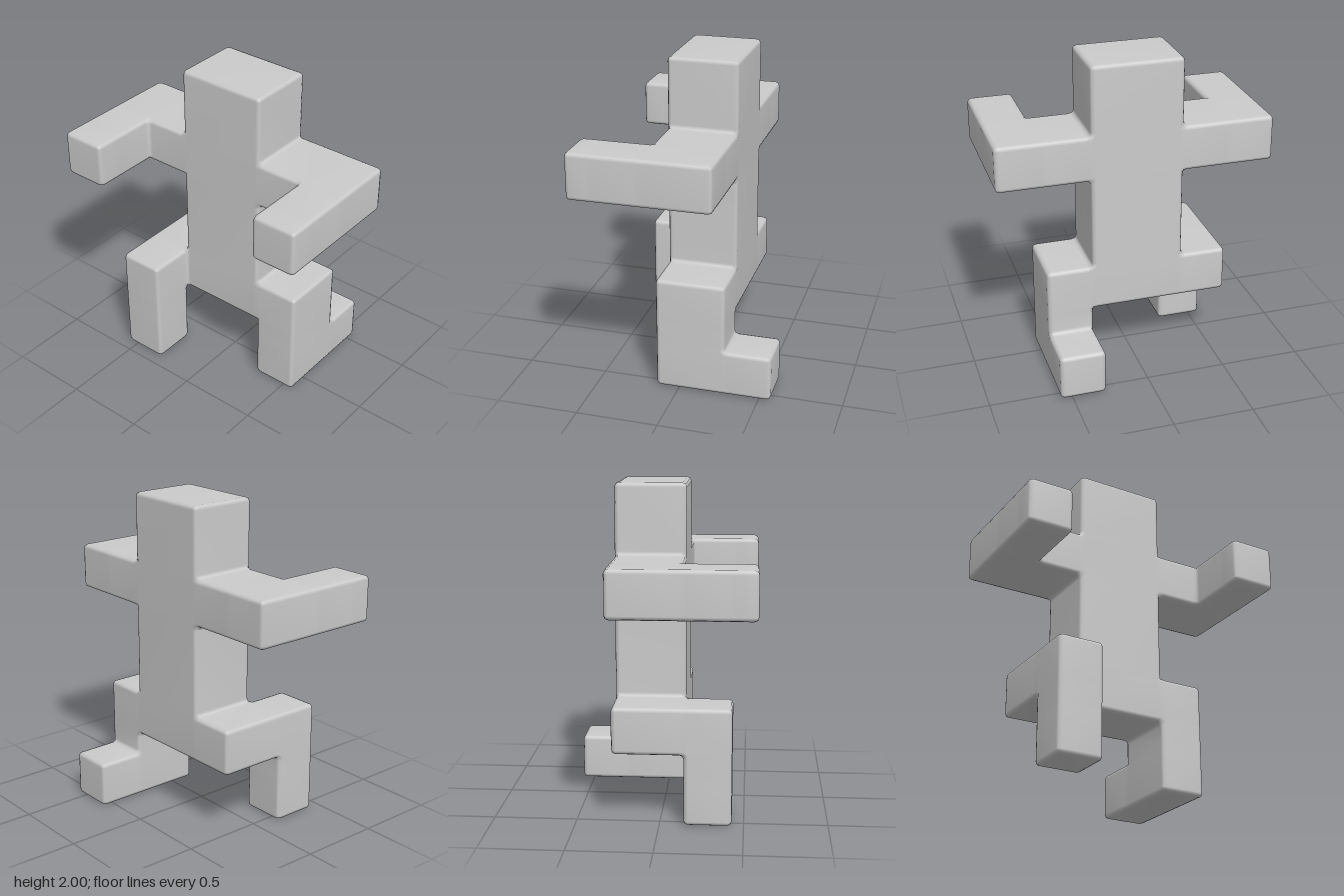
import * as THREE from 'three';

const U = 1 / 7;      // block unit
const R = 0.026;      // rounding of edges and inner corners

// Blocks on the unit grid: [min corner], [max corner]
const PARTS = [
  { name: 'torsoAndHead', min: [-2, 3, -2], max: [2, 14, 1] },
  { name: 'leftUpperArm', min: [2, 9, -2], max: [4, 11, 1] },
  { name: 'rightUpperArm', min: [-4, 9, -2], max: [-2, 11, 1] },
  { name: 'leftForearm', min: [4, 9, -2], max: [6, 11, 4] },
  { name: 'rightForearm', min: [-6, 9, -2], max: [-4, 11, 4] },
  { name: 'leftLeg', min: [2, 0, -2], max: [4, 5, 1] },
  { name: 'leftTrailingFoot', min: [2, 0, -4], max: [4, 2, -2] },
  { name: 'rightThigh', min: [-4, 3, -2], max: [-2, 5, 1] },
  { name: 'rightLowerLeg', min: [-4, 0, 1], max: [-2, 5, 3] },
];

// Grid lines per axis: every block face, with a line R to either side of it
const LINES = [0, 1, 2].map((a) => {
  const planes = new Set(PARTS.flatMap((p) => [p.min[a], p.max[a]]));
  return [...planes].sort((p, q) => p - q).flatMap((k) => [k * U - R, k * U, k * U + R]);
});

// Index of the block that fills a grid cell, or -1
function owner(cell) {
  const c = cell.map((i, a) => (LINES[a][i] + LINES[a][i + 1]) / 2 / U);
  return PARTS.findIndex((p) => c.every((v, a) => v > p.min[a] && v < p.max[a]));
}

// Vertex on the grid: convex edges are drawn in, concave ones filled out
function roundedPoint(id) {
  const sum = [0, 0, 0];
  let count = 0;
  for (let o = 0; o < 8; o++) {
    const bits = [o & 1, (o >> 1) & 1, (o >> 2) & 1];
    if (owner(id.map((v, a) => v - 1 + bits[a])) < 0) continue;
    count++;
    bits.forEach((b, a) => { sum[a] += b ? 1 : -1; });
  }
  const size = Math.max(1, ...sum.map(Math.abs));
  const axes = sum.filter((s) => s !== 0).length;
  const push = Math.sign(4 - count) * R * (1 - 1 / Math.sqrt(Math.max(1, axes)));
  return id.map((v, a) => LINES[a][v] + (sum[a] / size) * push);
}

export function createModel() {
  const group = new THREE.Group();
  group.name = 'blockFigure';
  const positions = [];
  const lookup = new Map();
  const indices = PARTS.map(() => []);

  const vertex = (id) => {
    const key = id.join();
    if (!lookup.has(key)) {
      lookup.set(key, positions.length / 3);
      positions.push(...roundedPoint(id));
    }
    return lookup.get(key);
  };

  // Skin: one quad wherever a filled cell meets an empty one
  const [nx, ny, nz] = LINES.map((l) => l.length - 1);
  for (let x = 0; x < nx; x++) for (let y = 0; y < ny; y++) for (let z = 0; z < nz; z++) {
    const cell = [x, y, z];
    const part = owner(cell);
    if (part < 0) continue;
    for (let a = 0; a < 3; a++) for (const side of [-1, 1]) {
      const next = [...cell];
      next[a] += side;
      if (owner(next) >= 0) continue;
      const corners = [[0, 0], [1, 0], [1, 1], [0, 1]].map(([s, t]) => {
        const id = [...cell];
        id[a] += side > 0 ? 1 : 0;
        id[(a + 1) % 3] += s;
        id[(a + 2) % 3] += t;
        return vertex(id);
      });
      if (side < 0) corners.reverse();
      const [p, q, r, s] = corners;
      indices[part].push(p, q, r, p, r, s);
    }
  }

  // Normals are shared across parts so that joints stay seamless
  const skin = new THREE.BufferGeometry();
  skin.setAttribute('position', new THREE.Float32BufferAttribute(positions, 3));
  skin.setIndex(indices.flat());
  skin.computeVertexNormals();

  const material = new THREE.MeshStandardMaterial({ color: 0xcccccc });
  PARTS.forEach((p, i) => {
    skin.setIndex(indices[i]);
    const mesh = new THREE.Mesh(skin.toNonIndexed(), material);
    mesh.name = p.name;
    group.add(mesh);
  });
  return group;
}
